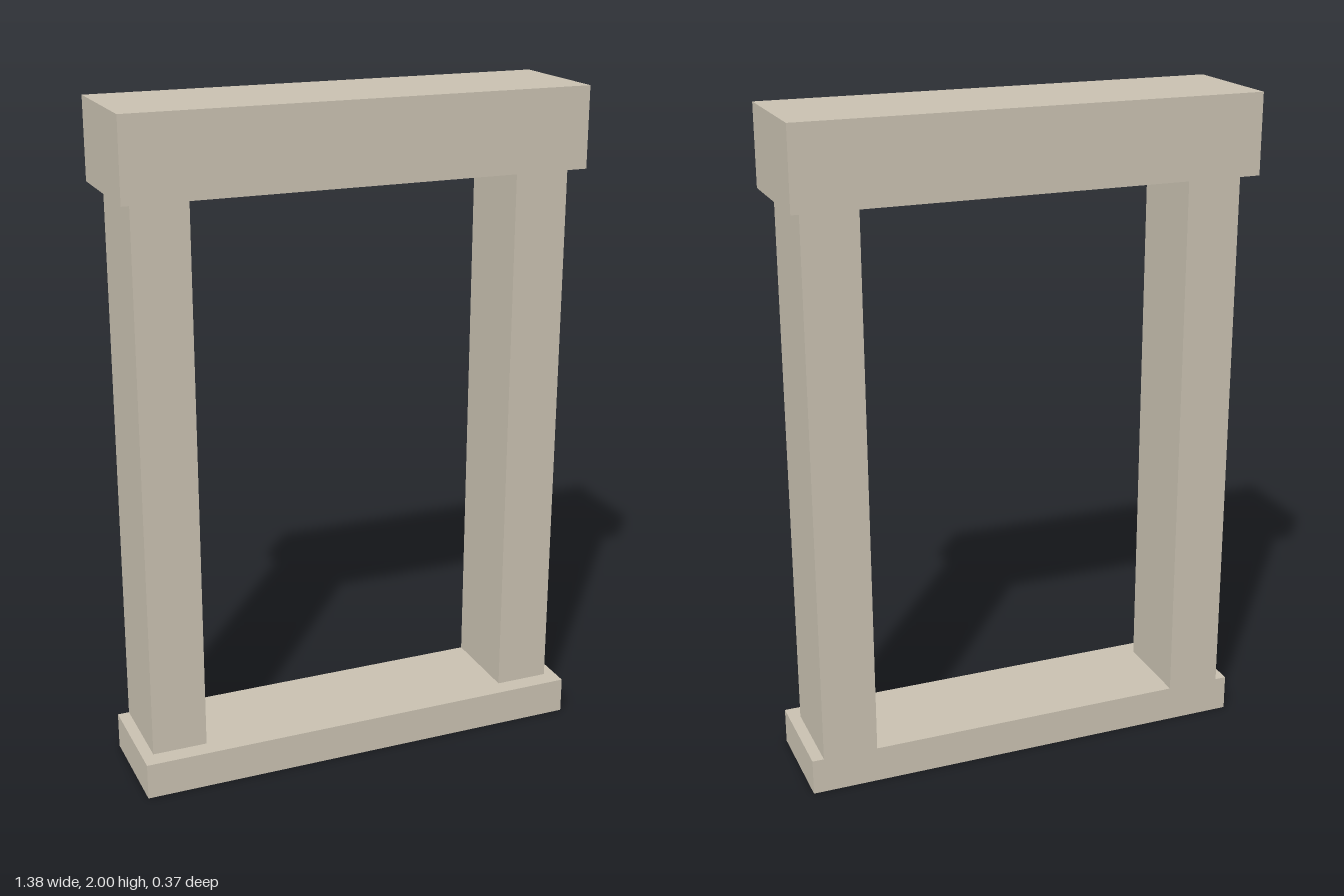
import * as THREE from 'three';

export function createModel() {
  const model = new THREE.Group();
  model.name = 'windowFrame';
  const stone = new THREE.MeshStandardMaterial({ color: 0xc8c0b0 });
  stone.name = 'pale stone';

  // Block given by its minimum and maximum on each axis
  function block(name, [x0, x1], [y0, y1], [z0, z1]) {
    const mesh = new THREE.Mesh(new THREE.BoxGeometry(x1 - x0, y1 - y0, z1 - z0), stone);
    mesh.position.set((x0 + x1) / 2, (y0 + y1) / 2, (z0 + z1) / 2);
    mesh.name = name;
    model.add(mesh);
  }

  const sillTop = 0.11, lintelBottom = 1.762, back = -0.138;

  // Sill projects forward and is flush with the posts at the back
  block('sill', [-0.69, 0.69], [0, sillTop], [back, 0.187]);
  block('lintel', [-0.69, 0.69], [lintelBottom, 2], [-0.187, 0.179]);

  // Side posts
  block('leftPost', [0.49, 0.655], [sillTop, lintelBottom], [back, 0.132]);
  block('rightPost', [-0.655, -0.49], [sillTop, lintelBottom], [back, 0.132]);

  return model;
}
